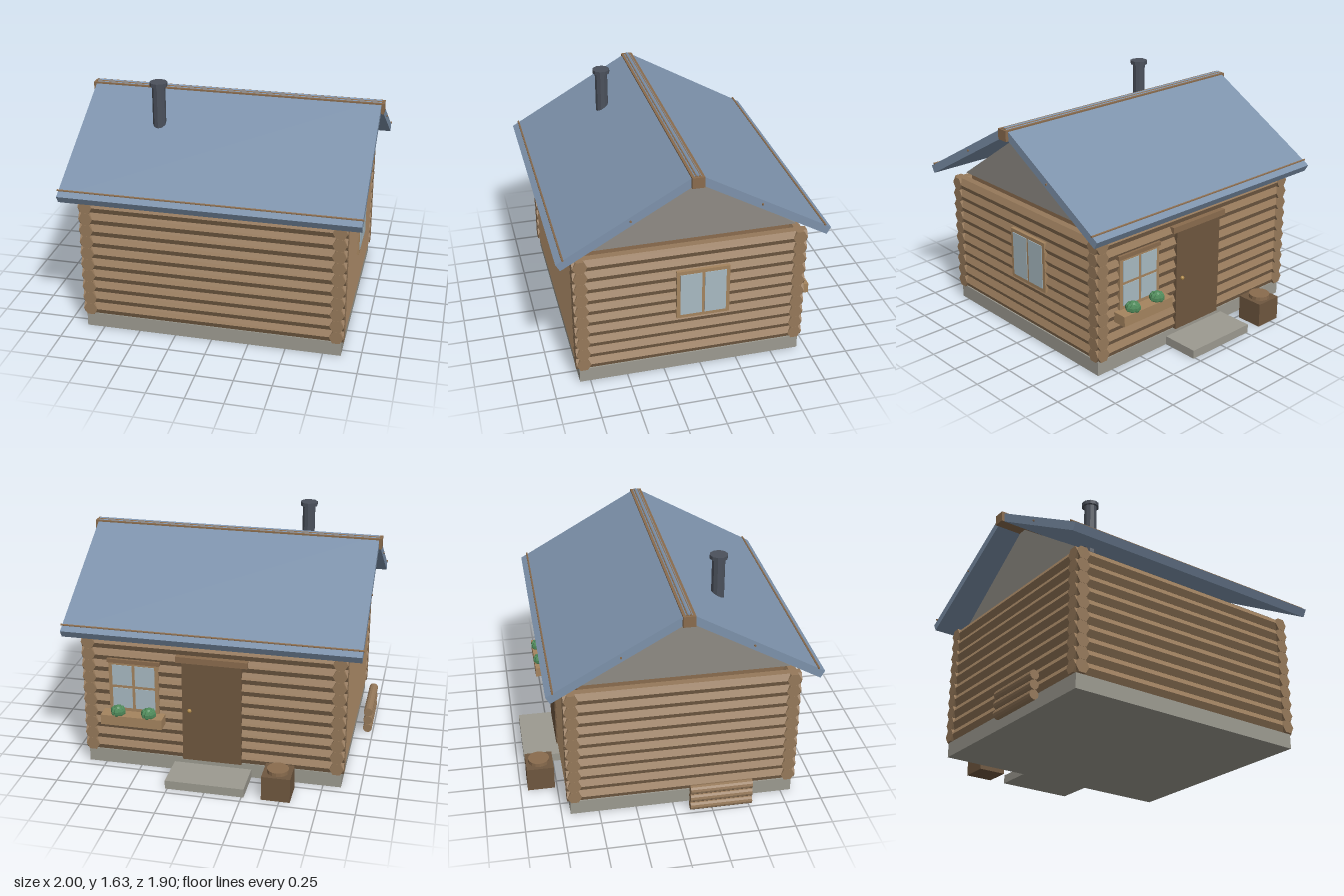
import * as THREE from 'three';

const mat = (color) => new THREE.MeshStandardMaterial({ color, flatShading: true });
const M = {
  log: mat(0x96795a), wood: mat(0x8a6c4e), frame: mat(0xa5845f), door: mat(0x6f573f),
  stone: mat(0x9c9a90), gable: mat(0x8f8b84), roof: mat(0x7d92ab), metal: mat(0x4b515c),
  glass: mat(0xa8bac2), leaf: mat(0x4f8a5a), brass: mat(0xb08a4a),
};
const MID = 0.065; // z of the ridge and of the house centre

function add(parent, name, geometry, material, x = 0, y = 0, z = 0) {
  const mesh = new THREE.Mesh(geometry, material);
  mesh.name = name;
  mesh.position.set(x, y, z);
  parent.add(mesh);
  return mesh;
}

// Box given by its lower and upper corners
function box(parent, name, material, [x0, y0, z0], [x1, y1, z1]) {
  return add(parent, name, new THREE.BoxGeometry(x1 - x0, y1 - y0, z1 - z0), material,
    (x0 + x1) / 2, (y0 + y1) / 2, (z0 + z1) / 2);
}

function group(parent, name) {
  const g = new THREE.Group();
  g.name = name;
  parent.add(g);
  return g;
}

// Bar lying along x
function bar(r, length, sides) {
  return new THREE.CylinderGeometry(r, r, length, sides).rotateZ(Math.PI / 2);
}

// Window facing +z, centred on its own origin, with cols x rows panes
function makeWindow(parent, name, w, h, cols, rows) {
  const g = group(parent, name);
  const rim = 0.025, gap = 0.02;
  box(g, 'windowFrame', M.frame, [-w / 2, -h / 2, -0.05], [w / 2, h / 2, 0.002]);
  const pw = (w - 2 * rim - gap * (cols - 1)) / cols;
  const ph = (h - 2 * rim - gap * (rows - 1)) / rows;
  for (let i = 0; i < cols; i++) {
    for (let j = 0; j < rows; j++) {
      const x = -w / 2 + rim + i * (pw + gap), y = -h / 2 + rim + j * (ph + gap);
      box(g, 'windowPane', M.glass, [x, y, -0.02], [x + pw, y + ph, 0.006]);
    }
  }
  return g;
}

export function createModel() {
  const cabin = new THREE.Group();
  cabin.name = 'logCabin';

  // Base and inner walls
  box(cabin, 'foundation', M.stone, [-0.87, 0, -0.69], [0.87, 0.1, 0.82]);
  box(cabin, 'innerWalls', M.wood, [-0.79, 0.1, -0.61], [0.79, 0.97, 0.74]);

  // Hexagonal logs crossing at the corners
  const walls = group(cabin, 'logWalls');
  const longLog = bar(0.048, 1.77, 6);
  const shortLog = bar(0.048, 1.55, 6).rotateY(Math.PI / 2);
  for (let i = 0; i < 10; i++) {
    const y = 0.142 + i * 0.084;
    for (const s of [-1, 1]) {
      add(walls, 'longLog', longLog, M.log, 0, y, MID + s * 0.725);
      add(walls, 'sideLog', shortLog, M.log, s * 0.837, y, MID);
    }
  }

  // Gable prism
  const tri = new THREE.Shape([
    new THREE.Vector2(-0.715, 0.965), new THREE.Vector2(0.715, 0.965), new THREE.Vector2(0, 1.45),
  ]);
  const prism = new THREE.ExtrudeGeometry(tri, { depth: 1.62, bevelEnabled: false });
  prism.translate(0, 0, -0.81).rotateY(Math.PI / 2);
  add(cabin, 'gable', prism, M.gable, 0, 0, MID);

  // Two roof slopes with battens, and the ridge beam
  for (const side of [0, 1]) {
    const slope = group(cabin, 'roofSlope');
    slope.position.set(0, 1.515, MID);
    slope.rotation.set(0.516, side * Math.PI, 0, 'YXZ');
    box(slope, 'roofSlab', M.roof, [-0.98, -0.055, 0], [0.98, 0, 1.02]);
    for (const [y, z] of [[-0.005, 0.015], [-0.025, 0.495], [0.003, 0.968]]) {
      add(slope, 'batten', bar(0.007, 1.976, 6), M.wood, 0, y, z);
    }
  }
  box(cabin, 'ridgeBeam', M.wood, [-1, 1.43, 0.025], [1, 1.502, 0.105]);

  // Stove pipe
  const pipe = group(cabin, 'chimney');
  pipe.position.set(-0.455, 0, 0.365);
  add(pipe, 'chimneyPipe', new THREE.CylinderGeometry(0.044, 0.044, 0.4, 10), M.metal, 0, 1.41, 0);
  add(pipe, 'chimneyCap', new THREE.CylinderGeometry(0.06, 0.06, 0.026, 10), M.metal, 0, 1.617, 0);

  // Side window
  const sideWindow = makeWindow(cabin, 'sideWindow', 0.357, 0.357, 2, 1);
  sideWindow.position.set(0.886, 0.587, -0.01);
  sideWindow.rotation.y = Math.PI / 2;

  // Entrance wall: window, door, lintel and step
  const backWindow = makeWindow(cabin, 'entranceWindow', 0.34, 0.36, 2, 2);
  backWindow.position.set(0.53, 0.6, -0.709);
  backWindow.rotation.y = Math.PI;
  box(cabin, 'windowHeader', M.wood, [0.35, 0.77, -0.716], [0.71, 0.797, -0.66]);
  box(cabin, 'door', M.door, [-0.2, 0.1, -0.713], [0.2, 0.815, -0.64]);
  box(cabin, 'doorLintel', M.wood, [-0.24, 0.815, -0.722], [0.24, 0.857, -0.64]);
  add(cabin, 'doorKnob', new THREE.SphereGeometry(0.014, 10, 8), M.brass, 0.15, 0.47, -0.718);
  box(cabin, 'doorStep', M.stone, [-0.265, 0, -0.95], [0.265, 0.06, -0.69]);

  // Flower box with two round plants
  box(cabin, 'flowerBox', M.frame, [0.32, 0.35, -0.8], [0.74, 0.42, -0.7]);
  for (const x of [0.42, 0.63]) {
    const plant = group(cabin, 'plant');
    plant.position.set(x, 0.437, -0.757);
    for (let i = 0; i < 8; i++) {
      const a = i * Math.PI / 4;
      const lobe = add(plant, 'plantLobe', new THREE.SphereGeometry(0.022, 6, 5), M.leaf,
        Math.cos(a) * 0.03, 0, Math.sin(a) * 0.03);
      lobe.scale.y = 1.5;
    }
    add(plant, 'plantTop', new THREE.SphereGeometry(0.034, 8, 6), M.leaf, 0, 0.01, 0);
  }

  // Chopping block
  box(cabin, 'choppingBase', M.door, [-0.57, 0, -0.95], [-0.38, 0.17, -0.765]);
  add(cabin, 'choppingTop', new THREE.CylinderGeometry(0.072, 0.072, 0.028, 16), M.wood, -0.475, 0.182, -0.86);

  // Stacked firewood
  for (let i = 0; i < 3; i++) {
    add(cabin, 'firewood', bar(0.032, 0.42, 12).rotateY(Math.PI / 2), M.log, -0.962, 0.037 + i * 0.064, 0.31);
  }
  return cabin;
}
